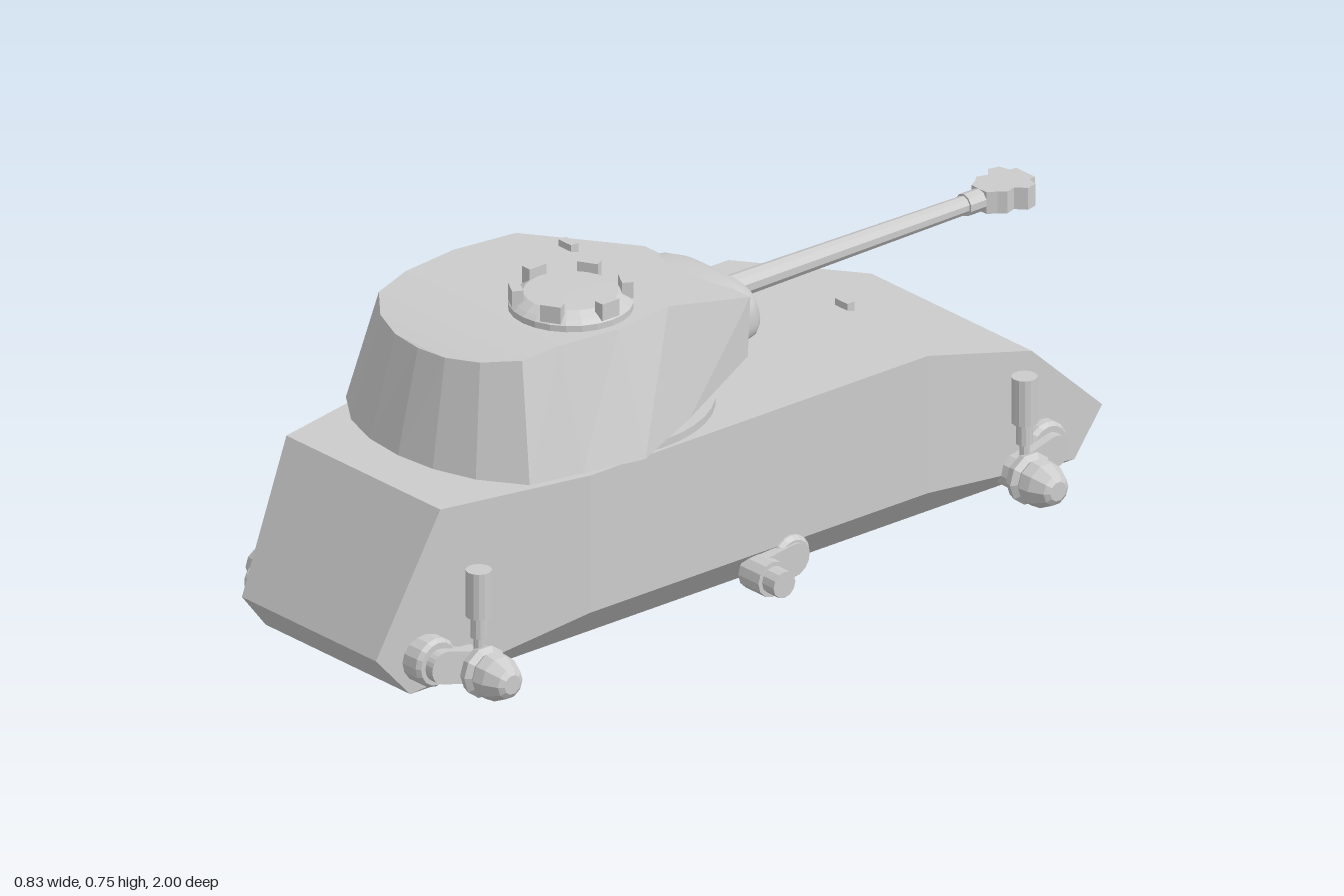
import * as THREE from 'three';
import { toCreasedNormals } from 'three/addons/utils/BufferGeometryUtils.js';

const flat = new THREE.MeshStandardMaterial({ color: 0xcccccc, flatShading: true });
const smooth = new THREE.MeshStandardMaterial({ color: 0xcccccc });

// Skin a list of closed rings; each cap is filled in strips across the ring's mirror pairs.
function loft(rings, pairs) {
  const pos = [];
  const tri = (a, b, c) => pos.push(...a, ...b, ...c);
  const quad = (a, b, c, d) => { tri(a, b, c); tri(a, c, d); };
  const n = rings[0].length;
  for (let s = 0; s < rings.length - 1; s++) {
    const A = rings[s], B = rings[s + 1];
    for (let i = 0; i < n; i++) {
      const j = (i + 1) % n;
      quad(A[i], A[j], B[j], B[i]);
    }
  }
  const first = rings[0], last = rings[rings.length - 1];
  for (let i = 0; i < n / 2 - 1; i++) {
    const k = n - 1 - i;
    quad(last[i], last[i + 1], last[k - 1], last[k]);
    quad(first[k], first[k - 1], first[i + 1], first[i]);
  }
  const g = new THREE.BufferGeometry();
  g.setAttribute('position', new THREE.Float32BufferAttribute(pos, 3));
  g.computeVertexNormals();
  return g;
}

const mirrorRing = half => [...half, ...half.map(([x, y, z]) => [-x, y, z]).reverse()];

function add(parent, name, geo, mat = flat, x = 0, y = 0, z = 0) {
  const m = new THREE.Mesh(geo, mat);
  m.name = name;
  m.position.set(x, y, z);
  parent.add(m);
  return m;
}

// Turned solid along +x from [x, radius] pairs
function turnedX(profile, sides) {
  const pts = [[profile[0][0], 0], ...profile, [profile[profile.length - 1][0], 0]];
  return new THREE.LatheGeometry(pts.map(([x, r]) => new THREE.Vector2(r, x)), sides)
    .rotateZ(-Math.PI / 2);
}

function makeHull() {
  // z, top y, bevel y, bottom y, half width, bottom half width
  const stations = [
    [-1, 0.105, 0.105, 0.105, 0.215, 0.215],
    [-0.91, 0.185, 0.012, 0.012, 0.232, 0.232],
    [-0.77, 0.31, 0.039, 0.012, 0.257, 0.232],
    [-0.43, 0.42, 0.105, 0.012, 0.32, 0.232],
    [0.5, 0.42, 0.105, 0.012, 0.32, 0.232],
    [0.85, 0.42, 0.027, 0.012, 0.247, 0.232],
    [0.92, 0.273, 0.012, 0.012, 0.232, 0.232],
    [1, 0.105, 0.105, 0.105, 0.215, 0.215],
  ];
  return loft(stations.map(([z, t, v, b, w, bw]) =>
    mirrorRing([[bw, b, z], [w, v, z], [w, t, z]])));
}

function makeTurret() {
  // Half outlines from the rear centre to the front corner
  const lower = [[0, 0.432, 0.755], [0.1, 0.432, 0.745], [0.2, 0.432, 0.712], [0.295, 0.432, 0.645],
    [0.322, 0.432, 0.52], [0.352, 0.432, 0.375]];
  const base = [...lower, [0.26, 0.432, 0.2], [0.13, 0.435, -0.02]];
  const edge = [...lower, [0.29, 0.452, 0.2], [0.185, 0.485, -0.05]];
  const roof = [[0, 0.662, 0.7], [0.08, 0.665, 0.694], [0.16, 0.673, 0.666], [0.23, 0.685, 0.61],
    [0.248, 0.7, 0.52], [0.265, 0.7, 0.375], [0.245, 0.7, 0.22], [0.17, 0.61, -0.07]];
  return loft([base, edge, roof].map(mirrorRing));
}

// Pillow-shaped gun shield from rounded-rectangle sections
function makeMantlet() {
  const sections = [[-0.152, 0.075, 0.028], [-0.146, 0.105, 0.042], [-0.125, 0.14, 0.06],
    [-0.1, 0.16, 0.069], [-0.06, 0.172, 0.074], [0, 0.165, 0.07]];
  const rings = sections.map(([z, w, h]) => Array.from({ length: 32 }, (_, i) => {
    const a = (i + 0.5) / 32 * Math.PI * 2 - Math.PI / 2;
    const p = v => Math.sign(v) * Math.abs(v) ** 0.65;
    const dy = h * p(Math.sin(a));
    return [w * p(Math.cos(a)), 0.547 + dy, z + dy * 0.2];
  }));
  return toCreasedNormals(loft(rings), 0.7);
}

function makeMuzzle() {
  const half = [[0.024, 0.85], [0.036, 0.87], [0.05, 0.885], [0.042, 0.91], [0.064, 0.93],
    [0.058, 0.955], [0.032, 0.962], [0.03, 0.978]];
  const pts = [...half, ...half.map(([x, z]) => [-x, z]).reverse()];
  const shape = new THREE.Shape(pts.map(p => new THREE.Vector2(...p)));
  return new THREE.ExtrudeGeometry(shape, { depth: 0.05, bevelEnabled: false })
    .translate(0, 0, -0.025).rotateX(-Math.PI / 2);
}

// Flat link with rounded ends between two (z, y) points
function makeLink(z0, y0, z1, y1, r, x, depth) {
  const len = Math.hypot(z1 - z0, y1 - y0);
  const s = new THREE.Shape();
  s.absarc(0, 0, r, Math.PI / 2, Math.PI * 1.5);
  s.absarc(len, 0, r, -Math.PI / 2, Math.PI / 2);
  return new THREE.ExtrudeGeometry(s, { depth, bevelEnabled: false, curveSegments: 6 })
    .rotateZ(Math.atan2(y1 - y0, -(z1 - z0)))
    .rotateY(Math.PI / 2).translate(x, y0, z0);
}

// Suspension arm with pivot, hub and vertical damper; dir is the end it trails to
function makeCornerUnit(z, dir) {
  const g = new THREE.Group();
  const pz = z + dir * 0.09;
  add(g, 'armPivot', turnedX([[0.2, 0.055], [0.27, 0.055], [0.28, 0.048]], 16), flat, 0, 0.087, pz);
  add(g, 'armLink', makeLink(z, 0.06, pz, 0.085, 0.036, 0.27, 0.032));
  add(g, 'wheelHub', turnedX([[0.25, 0.04], [0.305, 0.04], [0.305, 0.052], [0.325, 0.058], [0.335, 0.045],
    [0.345, 0.053], [0.372, 0.05], [0.405, 0.034], [0.413, 0.022]], 10), flat, 0, 0.058, z);
  add(g, 'damperBody', new THREE.CylinderGeometry(0.028, 0.028, 0.105, 14), flat, 0.304, 0.233, z);
  add(g, 'damperRod', new THREE.CylinderGeometry(0.018, 0.018, 0.05, 12), flat, 0.304, 0.157, z);
  add(g, 'damperFoot', new THREE.CylinderGeometry(0.011, 0.011, 0.06, 8), flat, 0.304, 0.11, z);
  return g;
}

function makeMiddleUnit() {
  const g = new THREE.Group();
  add(g, 'armPivot', turnedX([[0.2, 0.05], [0.325, 0.05], [0.335, 0.042]], 16), flat, 0, 0.072, -0.05);
  add(g, 'armLink', makeLink(0.035, 0.06, -0.05, 0.072, 0.036, 0.305, 0.035));
  add(g, 'wheelHub', turnedX([[0.3, 0.04], [0.365, 0.04], [0.365, 0.03], [0.402, 0.03]], 12), flat, 0, 0.06, 0.035);
  return g;
}

export function createModel() {
  const model = new THREE.Group();
  model.name = 'tank';
  add(model, 'hull', makeHull());
  add(model, 'hullPeriscope', new THREE.BoxGeometry(0.04, 0.025, 0.02), flat, -0.005, 0.41, -0.48);

  // Turret and gun
  const turret = new THREE.Group();
  turret.name = 'turret';
  model.add(turret);
  add(turret, 'turretRing', new THREE.CylinderGeometry(0.312, 0.312, 0.022, 40), flat, 0, 0.426, 0.29);
  add(turret, 'turretBody', makeTurret());
  add(turret, 'roofPeriscope', new THREE.BoxGeometry(0.04, 0.03, 0.02), flat, -0.14, 0.686, 0.165);
  add(turret, 'mantlet', makeMantlet(), smooth, -0.005);
  const gun = new THREE.Group();
  gun.name = 'gun';
  gun.position.set(-0.005, 0.543, 0);
  turret.add(gun);
  add(gun, 'barrel', new THREE.CylinderGeometry(0.02, 0.028, 0.76, 10).rotateX(-Math.PI / 2), flat, 0, 0, -0.48);
  add(gun, 'barrelCollar', new THREE.CylinderGeometry(0.025, 0.025, 0.055, 10).rotateX(-Math.PI / 2), flat, 0, 0, -0.835);
  add(gun, 'muzzleBrake', makeMuzzle());

  // Cupola with six vision blocks
  const cupola = new THREE.Group();
  cupola.name = 'cupola';
  cupola.position.set(0.112, 0.69, 0.375);
  turret.add(cupola);
  const dome = [[0.132, 0], [0.132, 0.024], [0.122, 0.032], [0.1, 0.046], [0, 0.047]];
  add(cupola, 'cupolaDome', new THREE.LatheGeometry(dome.map(p => new THREE.Vector2(...p)), 24));
  for (let i = 0; i < 6; i++) {
    const a = i * Math.PI / 3;
    const b = add(cupola, 'visionBlock', new THREE.BoxGeometry(0.024, 0.038, 0.046), flat,
      0.117 * Math.cos(a), 0.046, -0.117 * Math.sin(a));
    b.rotation.y = a;
  }

  // Suspension on both sides
  for (const [side, name] of [[1, 'left'], [-1, 'right']]) {
    const units = { RearSuspension: makeCornerUnit(0.793, 1), MiddleSuspension: makeMiddleUnit(),
      FrontSuspension: makeCornerUnit(-0.71, -1) };
    for (const [part, unit] of Object.entries(units)) {
      unit.name = name + part;
      unit.scale.x = side;
      model.add(unit);
    }
  }
  return model;
}
